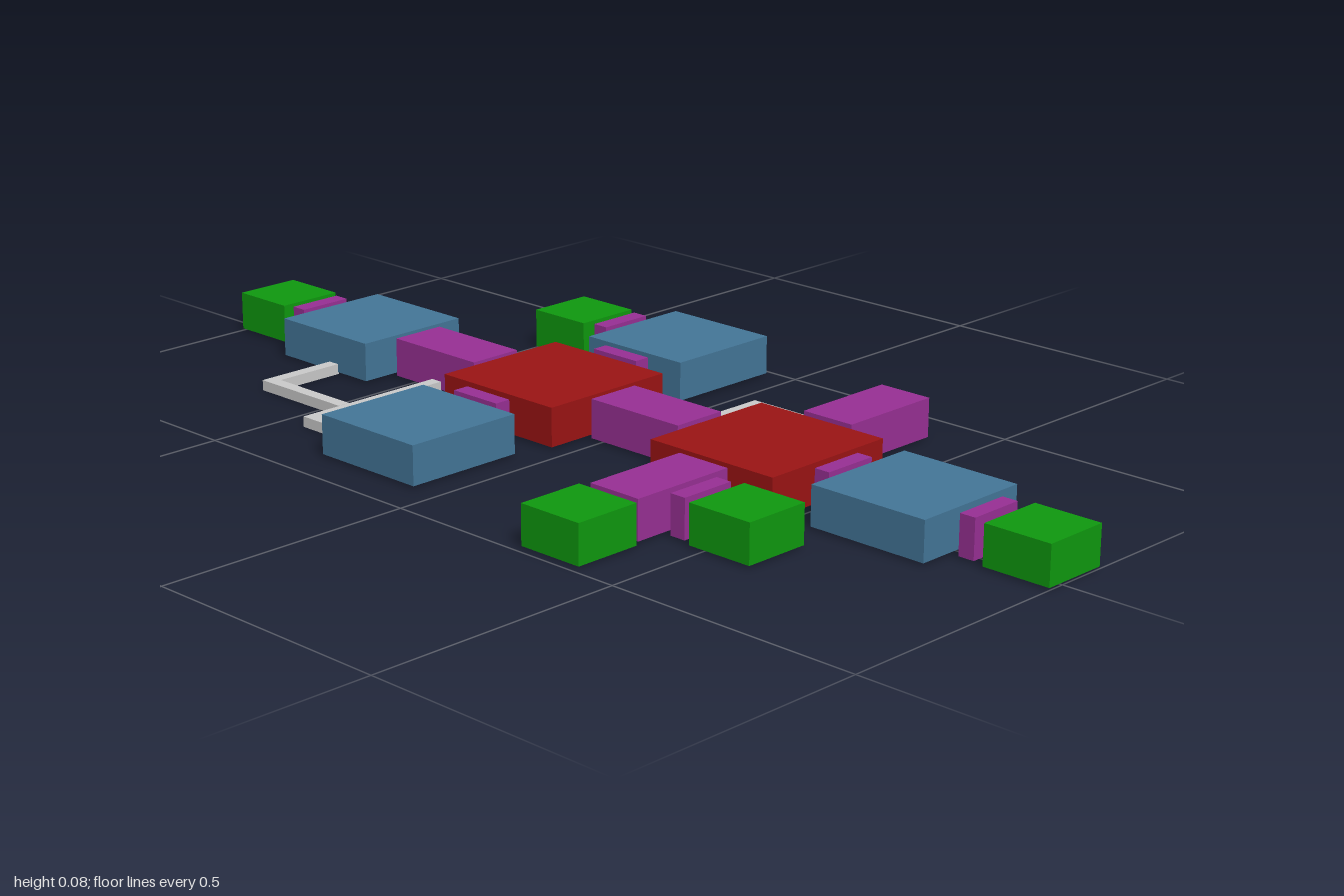
import * as THREE from 'three';

const mat = (color) => new THREE.MeshStandardMaterial({ color, flatShading: true });

export function createModel() {
  const model = new THREE.Group();
  const red = mat(0x9c1414), green = mat(0x0f9a0f), blue = mat(0x447799);
  const purple = mat(0x993095), grey = mat(0xcccccc);
  const FLOOR = 0.004, TOP = 0.078, DOOR_TOP = 0.051, PIPE = 0.024;

  // box given by its plan centre, plan size and height range
  function block(name, material, x, z, w, d, y0 = FLOOR, y1 = TOP) {
    const mesh = new THREE.Mesh(new THREE.BoxGeometry(w, y1 - y0, d), material);
    mesh.position.set(x, (y0 + y1) / 2, z);
    mesh.name = name;
    model.add(mesh);
  }

  // passage along x or z: a full-height body with a low, narrow doorway at each end
  function passage(name, axis, across, from, to, bodyFrom, bodyTo) {
    const put = (part, a, b, width, top) => {
      const mid = (a + b) / 2;
      if (axis === 'x') block(part, purple, mid, across, b - a, width, FLOOR, top);
      else block(part, purple, across, mid, width, b - a, FLOOR, top);
    };
    put(name, bodyFrom, bodyTo, 0.11, TOP);
    put(name + 'DoorStart', from, bodyFrom, 0.053, DOOR_TOP);
    put(name + 'DoorEnd', bodyTo, to, 0.053, DOOR_TOP);
  }

  // square-section conduit following plan points with right-angle bends
  function conduit(name, points) {
    for (let i = 0; i < points.length - 1; i++) {
      const [ax, az] = points[i], [bx, bz] = points[i + 1];
      const alongX = az === bz;
      const last = i === points.length - 2;
      // each leg stops at the corner block of the following leg
      const ext = last ? 0 : PIPE / 2;
      const sx = Math.sign(bx - ax), sz = Math.sign(bz - az);
      const start = i === 0 ? 0 : PIPE / 2;
      const x0 = ax + sx * start, x1 = bx + sx * ext;
      const z0 = az + sz * start, z1 = bz + sz * ext;
      block(name, grey, (x0 + x1) / 2, (z0 + z1) / 2,
        alongX ? Math.abs(x1 - x0) : PIPE, alongX ? PIPE : Math.abs(z1 - z0), 0, 0.02);
    }
  }

  // large halls
  for (const z of [-0.176, 0.347]) block('hall', red, 0.031, z, 0.283, 0.28);

  // medium rooms
  for (const [x, z] of [[0.03, -0.681], [0.03, 0.673], [-0.3, -0.177], [0.362, -0.177]])
    block('room', blue, x, z, 0.239, 0.239);

  // small end chambers
  for (const [x, z] of [[0.032, -0.934], [0.032, 0.934], [0.362, -0.431], [-0.421, 0.346], [-0.228, 0.537]])
    block('chamber', green, x, z, 0.132, 0.132);

  // long corridors
  passage('corridor', 'z', 0.03, -0.562, -0.316, -0.546, -0.33);
  passage('corridor', 'z', 0.03, -0.036, 0.207, -0.022, 0.19);
  passage('corridor', 'x', 0.346, -0.355, -0.11, -0.34, -0.127);
  passage('corridor', 'x', 0.346, 0.172, 0.419, 0.191, 0.404);

  // short doorways
  passage('doorway', 'z', 0.03, -0.868, -0.8, -0.85, -0.819);
  passage('doorway', 'z', 0.03, 0.487, 0.554, 0.505, 0.536);
  passage('doorway', 'z', 0.03, 0.792, 0.868, 0.812, 0.843);
  passage('doorway', 'z', 0.362, -0.365, -0.296, -0.347, -0.315);
  passage('doorway', 'z', -0.228, 0.401, 0.471, 0.419, 0.451);
  passage('doorway', 'x', -0.178, -0.181, -0.11, -0.163, -0.131);
  passage('doorway', 'x', -0.178, 0.172, 0.243, 0.192, 0.224);

  // conduits on the ground between rooms
  conduit('conduit', [[-0.088, -0.655], [-0.242, -0.655], [-0.242, -0.447]]);
  conduit('conduit', [[-0.024, -0.434], [-0.327, -0.434], [-0.327, -0.295]]);
  conduit('conduit', [[0.085, 0.083], [0.295, 0.083], [0.295, 0.292]]);

  return model;
}
